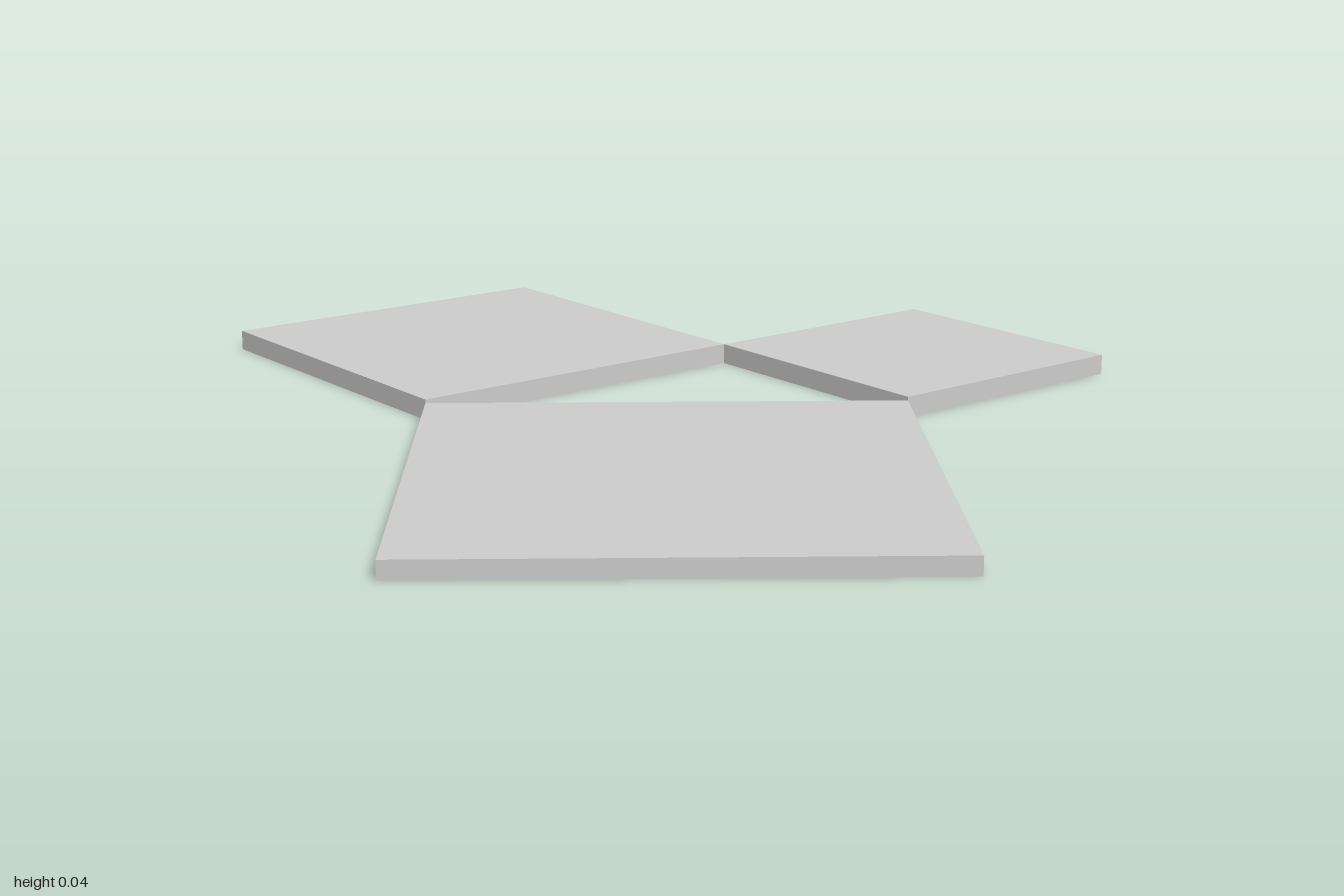
import * as THREE from 'three';

// Three square tiles standing on the sides of a 3-4-5 right triangle
export function createModel() {
  const group = new THREE.Group();
  const material = new THREE.MeshStandardMaterial({ color: 0xcccccc, flatShading: true });
  const u = 2 / 11; // one unit of the 3-4-5 triangle

  // Square tile resting on the ground; position in triangle units
  function addTile(name, side, height, x, z, angle = 0) {
    const tile = new THREE.Mesh(new THREE.BoxGeometry(side * u, height, side * u), material);
    tile.name = name;
    tile.position.set(x * u, height / 2, z * u);
    tile.rotation.y = angle;
    group.add(tile);
  }

  addTile('longLegSquare', 4, 0.04, 0, -3.5);
  addTile('shortLegSquare', 3, 0.04, 3.5, 0);
  addTile('hypotenuseSquare', 5, 0.033, -1.5, 2, -Math.atan2(3, 4));

  return group;
}
